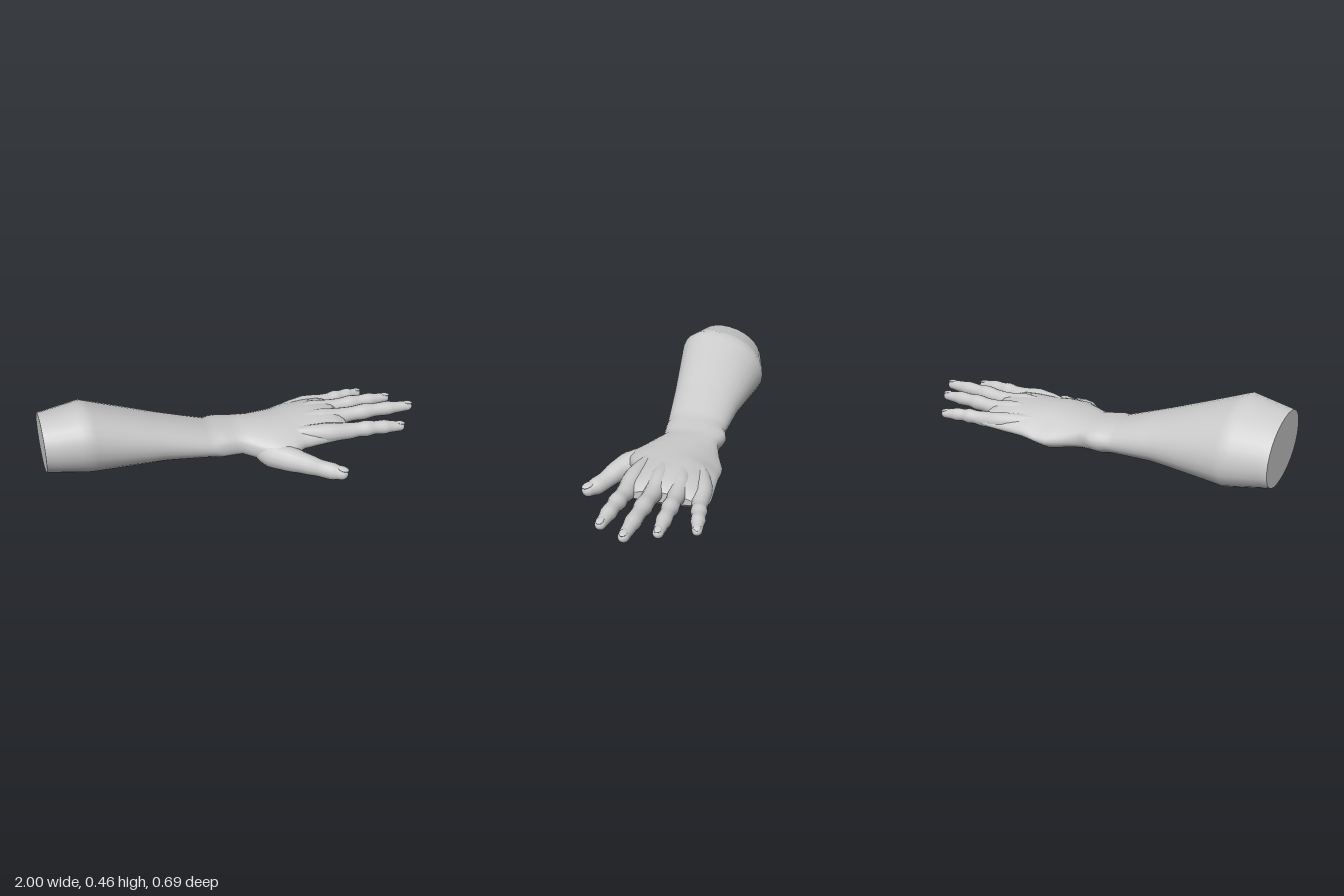
import * as THREE from 'three';

const SIDES = 28;
const V = (x, y, z) => new THREE.Vector3(x, y, z);
const material = new THREE.MeshStandardMaterial({ color: 0xcccccc });

// Skin a row of closed rings; both ends get flat caps with their own vertices
function loft(name, rings) {
  const n = rings[0].length, pos = [], index = [];
  rings.forEach(r => r.forEach(p => pos.push(p.x, p.y, p.z)));
  for (let i = 0; i < rings.length - 1; i++) {
    for (let j = 0; j < n; j++) {
      const a = i * n + j, b = i * n + (j + 1) % n;
      index.push(a, a + n, b, b, a + n, b + n);
    }
  }
  [rings[0], rings[rings.length - 1]].forEach((ring, end) => {
    const first = pos.length / 3, c = V(0, 0, 0);
    ring.forEach(p => { pos.push(p.x, p.y, p.z); c.addScaledVector(p, 1 / n); });
    pos.push(c.x, c.y, c.z);
    for (let j = 0; j < n; j++) {
      const a = first + j, b = first + (j + 1) % n;
      index.push(first + n, end ? b : a, end ? a : b);
    }
  });
  const g = new THREE.BufferGeometry();
  g.setAttribute('position', new THREE.Float32BufferAttribute(pos, 3));
  g.setIndex(index);
  g.computeVertexNormals();
  const mesh = new THREE.Mesh(g, material);
  mesh.name = name;
  return mesh;
}

// Soft swellings of the arm surface: centre, reach, push
const bumps = [
  [V(-0.08, 0.14, -0.25), 0.05, V(0, 0, -0.028)],     // wrist bone
  [V(0.18, 0.06, -0.25), 0.1, V(0, -0.02, -0.005)],   // heel of the palm
  [V(0.17, 0.05, 0.06), 0.09, V(0, -0.04, 0)],        // ball of the thumb
  [V(0.33, 0.055, -0.11), 0.1, V(0, 0.015, 0)],       // hollow of the palm
];

// Cross-section across the arm: tilted in the forearm, arched over the knuckles
function armRing([x, z0, z1, y0, y1, tilt, arch]) {
  const ring = [], power = arch > 0 ? 0.75 : 0.95;
  const soft = v => Math.sign(v) * Math.abs(v) ** power;
  for (let j = 0; j < SIDES; j++) {
    const a = j / SIDES * Math.PI * 2, u = soft(Math.cos(a)), v = soft(Math.sin(a));
    const dz = u * (z1 - z0) / 2;
    const drop = arch * u * u * (u < 0 ? 1 : 0.6) * Math.max(0, v + 0.5);
    const p = V(x, (y0 + y1) / 2 + v * (y1 - y0) / 2 + tilt * dz - drop, (z0 + z1) / 2 + dz);
    const base = p.clone();
    for (const [c, reach, push] of bumps) {
      p.addScaledVector(push, Math.exp(-base.distanceToSquared(c) / reach ** 2));
    }
    ring.push(p);
  }
  return ring;
}

// Direction, up and side of a digit at one point of its path
function frame(dir) {
  const side = dir.clone().cross(V(0, 1, 0)).normalize();
  return { dir, side, up: side.clone().cross(dir).normalize() };
}

// Digit: rings of changing radius along a smooth path, rounded tip and a nail
function digit(name, points, radii) {
  const group = new THREE.Group();
  group.name = name;
  const curve = new THREE.CatmullRomCurve3(points, false, 'centripetal');
  const rings = [], steps = (points.length - 1) * 3;
  const addRing = (p, f, r) => {
    const ring = [];
    for (let j = 0; j < 14; j++) {
      const a = j / 14 * Math.PI * 2;
      ring.push(p.clone().addScaledVector(f.side, r * Math.cos(a)).addScaledVector(f.up, r * Math.sin(a)));
    }
    rings.push(ring);
  };
  let f, p;
  for (let i = 0; i <= steps; i++) {
    const k = Math.min(Math.floor(i / 3), points.length - 2), s = i / 3 - k;
    p = curve.getPoint(i / steps);
    f = frame(curve.getTangent(i / steps));
    addRing(p, f, THREE.MathUtils.lerp(radii[k], radii[k + 1], s * s * (3 - 2 * s)));
  }
  const tip = radii[radii.length - 1];
  for (const a of [0.35, 0.7, 1.05, 1.35, 1.55]) {
    addRing(p.clone().addScaledVector(f.dir, tip * Math.sin(a)), f, tip * Math.cos(a));
  }
  group.add(loft(name + 'Skin', rings));

  const nail = new THREE.Mesh(new THREE.SphereGeometry(1, 12, 8), material);
  nail.name = name + 'Nail';
  nail.scale.set(tip * 0.95, tip * 0.25, tip * 0.7);
  nail.quaternion.setFromRotationMatrix(new THREE.Matrix4().makeBasis(f.dir, f.up, f.side));
  nail.rotateZ(-0.15);
  nail.position.copy(p).addScaledVector(f.up, tip * 0.82).addScaledVector(f.dir, tip * 0.1);
  group.add(nail);
  return group;
}

export function createModel() {
  const model = new THREE.Group();
  model.name = 'forearmAndHand';

  // Forearm, wrist and palm: x, back z, front z, bottom y, top y, tilt, arch
  const sections = [
    [-1, -0.30, 0.09, 0.105, 0.415, 0.2, 0],
    [-0.79, -0.345, 0.133, 0.07, 0.45, 0.2, 0],
    [-0.4, -0.275, 0.085, 0.075, 0.305, 0.1, 0],
    [-0.15, -0.248, 0.062, 0.055, 0.218, 0.03, 0],
    [0, -0.245, 0.048, 0.05, 0.2, 0, 0.005],
    [0.09, -0.27, 0.115, 0.045, 0.205, 0, 0.03],
    [0.17, -0.3, 0.168, 0.045, 0.207, 0, 0.04],
    [0.24, -0.308, 0.165, 0.05, 0.208, 0, 0.045],
    [0.31, -0.311, 0.122, 0.055, 0.208, 0, 0.035],
    [0.44, -0.318, 0.115, 0.06, 0.206, 0, 0.033],
    [0.52, -0.322, 0.116, 0.07, 0.195, 0, 0.03],
    [0.56, -0.318, 0.112, 0.085, 0.182, 0, 0.03],
    [0.585, -0.3, 0.1, 0.11, 0.162, 0, 0.03],
  ];
  // Straight in-between rings give the bumps enough vertices
  const rings = [];
  sections.forEach((s, i) => {
    const next = sections[i + 1], cuts = next ? Math.max(1, Math.round((next[0] - s[0]) / 0.035)) : 1;
    for (let k = 0; k < cuts; k++) {
      rings.push(armRing(next ? s.map((v, m) => v + (next[m] - v) * k / cuts) : s));
    }
  });
  model.add(loft('forearmAndPalm', rings));

  // Fingers start as tendons in the back of the hand: z root, z base, z tip, y base, y tip, x tip, radius
  const fingers = {
    indexFinger: [0.02, 0.075, 0.106, 0.135, 0.128, 0.885, 0.046],
    middleFinger: [-0.05, -0.058, -0.035, 0.15, 0.156, 0.997, 0.046],
    ringFinger: [-0.11, -0.167, -0.167, 0.147, 0.15, 0.922, 0.044],
    littleFinger: [-0.17, -0.278, -0.315, 0.125, 0.12, 0.817, 0.041],
  };
  for (const [name, [zr, zb, zt, yb, yt, xt, r]] of Object.entries(fingers)) {
    const tipR = r * 0.58, end = xt - tipR;
    const along = t => V(0.57 + (end - 0.57) * t, yb + (yt - yb) * t + 0.006 * Math.sin(t * Math.PI),
      zb + (zt - zb) * t);
    const points = [V(0.16, 0.165, zr), V(0.45, yb + 0.01, zb + (zr - zb) * 0.1),
      ...[0, 0.2, 0.36, 0.52, 0.7, 0.84, 1].map(along)];
    const radii = [0.4, 1.12, 0.98, 0.86, 0.95, 0.78, 0.84, 0.68, 0.58].map(k => k * r);
    model.add(digit(name, points, radii));
  }

  // Thumb, growing out of the palm
  model.add(digit('thumb',
    [V(0.06, 0.105, 0.02), V(0.14, 0.085, 0.09), V(0.21, 0.083, 0.158), V(0.285, 0.07, 0.212),
      V(0.35, 0.053, 0.247), V(0.4, 0.044, 0.277), V(0.442, 0.04, 0.307)],
    [0.04, 0.07, 0.066, 0.054, 0.045, 0.045, 0.034]));

  return model;
}
